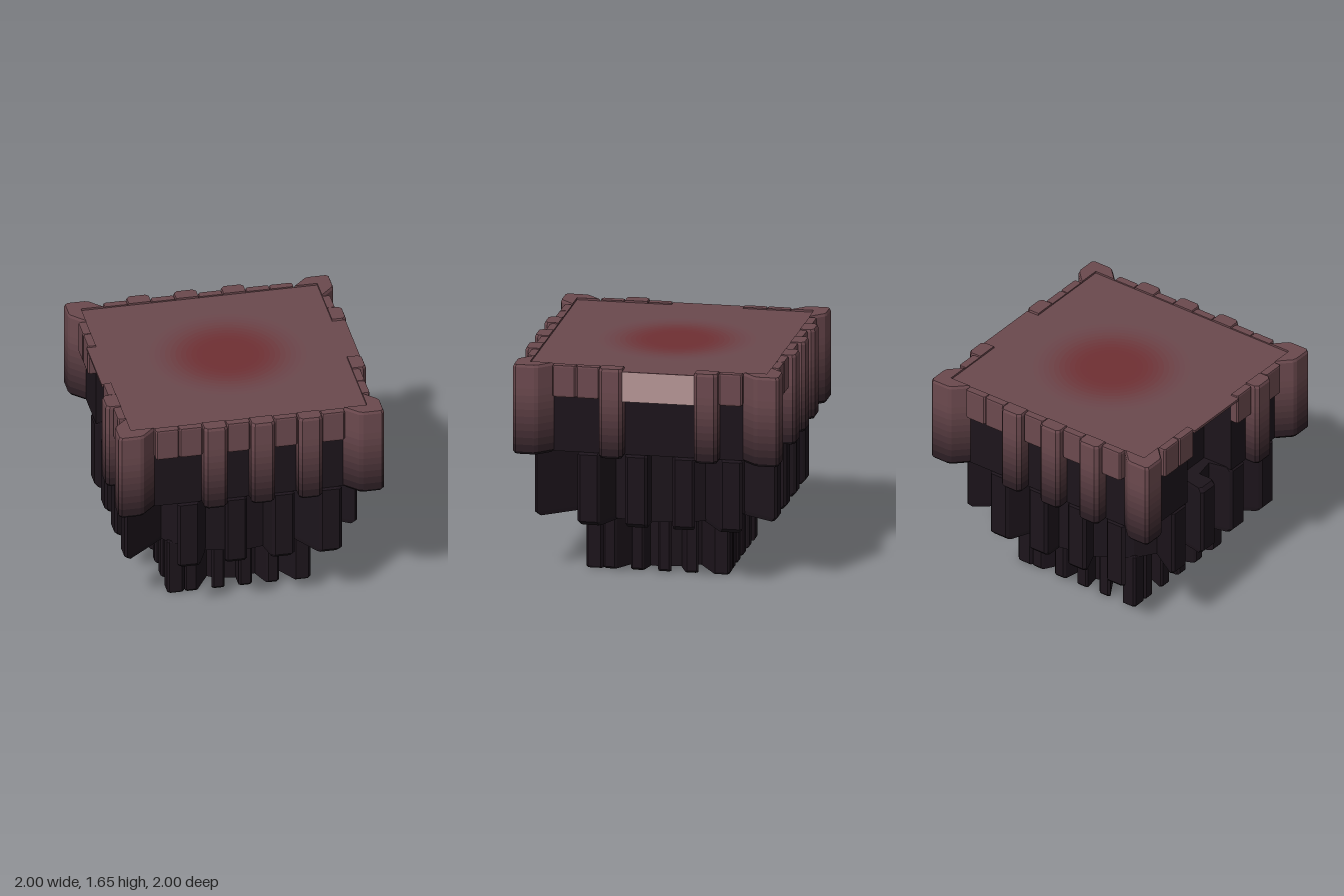
import * as THREE from 'three';

const BROWN = new THREE.Color(0x6b494e);
const DARK = new THREE.Color(0x1c141b);
const RED = new THREE.Color(0x6f2f33);
const mat = (color) => new THREE.MeshStandardMaterial({ color, flatShading: true });
const darkMat = mat(DARK), brownMat = mat(BROWN), panelMat = mat(0xb69696);

// Stacks copies of a floor outline; each level is [y, scale about the first point].
function loft(outline, levels, capBottom, capTop) {
  const pos = [], n = outline.length, [ax, az] = outline[0];
  const at = (i, [y, s]) => [ax + (outline[i % n][0] - ax) * s, y, az + (outline[i % n][1] - az) * s];
  for (let l = 0; l < levels.length - 1; l++) {
    const lo = levels[l], hi = levels[l + 1];
    for (let i = 0; i < n; i++) {
      const a = at(i, lo), b = at(i + 1, lo), c = at(i + 1, hi), d = at(i, hi);
      pos.push(...a, ...b, ...c, ...a, ...c, ...d);
    }
  }
  const first = levels[0], last = levels[levels.length - 1];
  for (let i = 1; i < n - 1; i++) {
    if (capBottom) pos.push(...at(0, first), ...at(i + 1, first), ...at(i, first));
    if (capTop) pos.push(...at(0, last), ...at(i, last), ...at(i + 1, last));
  }
  const g = new THREE.BufferGeometry();
  g.setAttribute('position', new THREE.Float32BufferAttribute(pos, 3));
  g.computeVertexNormals();
  return g;
}

// Bevelled upright column in one material
function column(parent, name, outline, y0, y1, material, bevel = 0.02, shrink = 0.93) {
  const levels = [[y0, shrink], [y0 + bevel, 1], [y1 - bevel, 1], [y1, shrink]];
  const m = new THREE.Mesh(loft(outline, levels, true, true), material);
  m.name = name;
  parent.add(m);
}

// Bevelled column whose colour fades from brown at the top to dark at the foot
function fadingColumn(parent, name, outline, y0, y1) {
  const g = new THREE.Group();
  g.name = name;
  const levels = [[y0, 0.88], [y0 + 0.02, 1]];
  const steps = 12;
  for (let i = 1; i <= steps; i++) levels.push([y0 + 0.02 + (y1 - y0 - 0.04) * i / steps, 1]);
  levels.push([y1, 0.93]);
  for (let i = 0; i < levels.length - 1; i++) {
    const t = THREE.MathUtils.clamp(((levels[i][0] + levels[i + 1][0]) / 2 - y0) / 0.5, 0, 1);
    const m = new THREE.Mesh(
      loft(outline, [levels[i], levels[i + 1]], i === 0, i === levels.length - 2),
      mat(DARK.clone().lerp(BROWN, t)));
    m.name = name + 'Band';
    g.add(m);
  }
  parent.add(g);
}

// Column outline on the front face with chamfered outer edges; taper narrows the inner end
function strip(x0, x1, zIn, zOut, c = 0.02, taper = 1) {
  return [[(x0 + x1) / 2 * taper, zIn], [x0 * taper, zIn], [x0, zOut - c], [x0 + c, zOut],
    [x1 - c, zOut], [x1, zOut - c], [x1 * taper, zIn]];
}

function block(parent, name, min, max, material) {
  const [w, h, d] = max.map((v, i) => v - min[i]);
  const m = new THREE.Mesh(new THREE.BoxGeometry(w, h, d), material);
  m.position.set(min[0] + w / 2, min[1] + h / 2, min[2] + d / 2);
  m.name = name;
  parent.add(m);
}

function drum(parent, name, radius, y0, y1) {
  const m = new THREE.Mesh(new THREE.CylinderGeometry(radius, radius, y1 - y0, 16), darkMat);
  m.position.y = (y0 + y1) / 2;
  m.name = name;
  parent.add(m);
}

export function createModel() {
  const model = new THREE.Group();
  model.name = 'steppedPlatform';

  // Round cores that the fins radiate from
  drum(model, 'lowerCore', 0.42, 0.005, 0.45);
  drum(model, 'middleCore', 0.74, 0.43, 0.99);

  // Square upper core with a bay left open on the -x side
  block(model, 'upperCore', [-0.64, 0.98, -0.89], [0.89, 1.6, 0.89], darkMat);
  block(model, 'upperCoreBack', [-0.89, 0.98, -0.89], [-0.64, 1.6, -0.36], darkMat);
  block(model, 'upperCoreFront', [-0.89, 0.98, 0.18], [-0.64, 1.6, 0.89], darkMat);

  // Floor slab, its ledge over the bay and the pale end panel
  block(model, 'floorSlab', [-0.89, 1.6, -0.89], [0.89, 1.64, 0.89], brownMat);
  block(model, 'bayLedge', [-0.96, 1.62, -0.36], [-0.89, 1.64, 0.18], brownMat);
  block(model, 'panelLedge', [0.89, 1.635, -0.36], [0.99, 1.64, 0.18], brownMat);
  block(model, 'endPanel', [0.89, 1.41, -0.36], [0.99, 1.635, 0.18], panelMat);

  // Red glow in the middle of the floor
  const rings = 16, radius = 0.62;
  for (let i = 0; i < rings; i++) {
    const r0 = radius * i / rings, r1 = radius * (i + 1) / rings;
    const t = THREE.MathUtils.smoothstep((i + 0.5) / rings, 0.3, 1);
    const ring = new THREE.Mesh(new THREE.RingGeometry(r0, r1, 40), mat(RED.clone().lerp(BROWN, t)));
    ring.rotation.x = -Math.PI / 2;
    ring.position.set(0.04, 1.642, -0.05);
    ring.name = 'floorGlow';
    model.add(ring);
  }

  // The same rhythm of columns turns around the four sides
  const u = 0.1785, start = -4 * u;
  const openBay = { 1: [3, 4, 5], 3: [2, 3, 4] };
  for (let k = 0; k < 4; k++) {
    const side = new THREE.Group();
    side.name = 'side';
    side.rotation.y = k * Math.PI / 2;
    model.add(side);

    for (let i = 0; i < 8; i++) {
      const x0 = start + i * u, x1 = x0 + u;
      const long = i === 2 || i === 4 || i === 6;
      // Upper tier: long columns and short trim blocks
      if (!(openBay[k] || []).includes(i)) {
        if (long) fadingColumn(side, 'upperColumn', strip(x0, x1, 0.89, 1.0, 0.025), 0.97, 1.655);
        else column(side, 'trimBlock', strip(x0, x1, 0.89, 0.95, 0.012), 1.41, 1.65, brownMat, 0.012, 0.95);
      }
      // Middle tier: radiating fins in the alternate places
      if (i % 2 === 1) {
        column(side, 'middleFin', strip(x0, x1 - 0.01, 0.5, 0.895, 0.02, 0.56), 0.42, 0.99, darkMat, 0.03);
      }
    }

    // Lower tier: narrow radiating fins
    for (let i = 0; i < 4; i++) {
      const x0 = -0.41 + i * 0.205;
      column(side, 'lowerFin', strip(x0, x0 + 0.1, 0.27, 0.54, 0.015, 0.5), 0, 0.45, darkMat, 0.015, 0.96);
    }

    // Corner posts
    fadingColumn(side, 'cornerPost',
      [[0.89, 0.89], [0.71, 0.89], [0.81, 0.99], [0.84, 1.0], [0.98, 1.0], [1.0, 0.98],
        [1.0, 0.84], [0.99, 0.81], [0.89, 0.71]],
      0.97, 1.655);
    column(side, 'lowerCorner',
      [[0.25, 0.25], [0.43, 0.54], [0.525, 0.54], [0.54, 0.525], [0.54, 0.43]],
      0, 0.45, darkMat, 0.015, 0.97);
  }
  return model;
}
